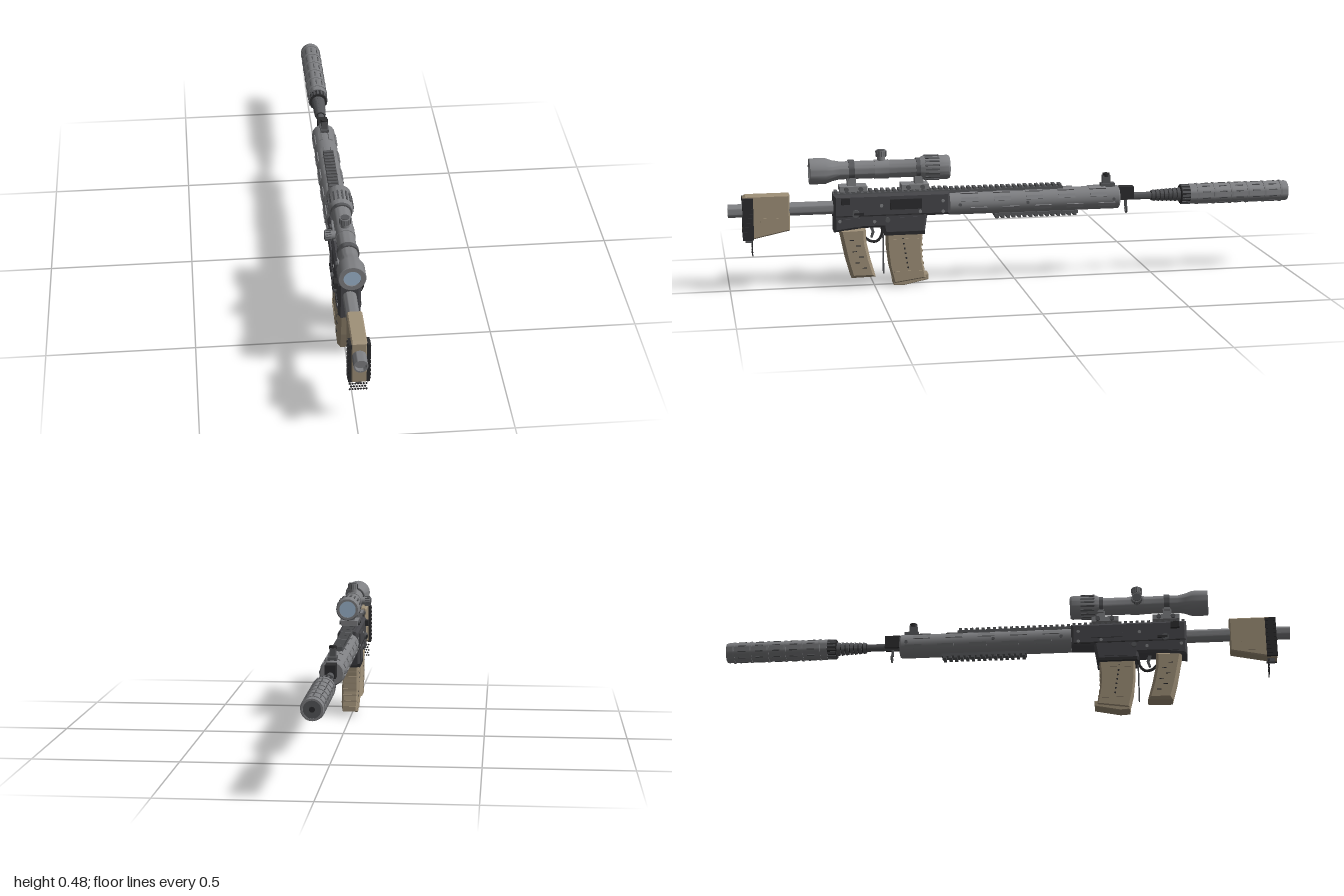
import * as THREE from 'three';
import { toCreasedNormals } from 'three/addons/utils/BufferGeometryUtils.js';

const mat = (name, color) => {
  const m = new THREE.MeshStandardMaterial({ color });
  m.name = name;
  return m;
};

export function createModel() {
  const root = new THREE.Group();
  root.name = 'rifle';
  root.position.x = 0.005;

  const grey = mat('metal grey', 0x7f8083);
  const mid = mat('steel grey', 0x57585b);
  const body = mat('receiver dark', 0x46464a);
  const black = mat('black', 0x2c2c2e);
  const tan = mat('tan', 0xa09179);
  const glass = mat('lens blue', 0xa0b9d1);
  const AXIS = 0.283, SCOPE = 0.412;

  const add = (name, geo, m, x = 0, y = 0, z = 0) => {
    const mesh = new THREE.Mesh(geo, m);
    mesh.name = name;
    mesh.position.set(x, y, z);
    root.add(mesh);
    return mesh;
  };
  const box = (name, m, w, h, d, x, y, z) => add(name, new THREE.BoxGeometry(w, h, d), m, x, y, z);
  // solid of revolution along z, points are [radius, z] with z rising
  const turn = (name, m, pts, y, seg = 32) => {
    const g = new THREE.LatheGeometry(pts.map(p => new THREE.Vector2(p[0], p[1])), seg);
    g.rotateX(Math.PI / 2);
    return add(name, toCreasedNormals(g, 0.6), m, 0, y, 0);
  };
  const rod = (name, m, r, z0, z1, y, seg = 32) =>
    turn(name, m, [[0, z0], [r, z0], [r, z1], [0, z1]], y, seg);
  // side outline of [z, y] points, extruded across x
  const slab = (name, m, pts, w, bevel = 0, x = 0) => {
    const s = new THREE.Shape(pts.map(p => new THREE.Vector2(-p[0], p[1])));
    const depth = w - 2 * bevel;
    const g = new THREE.ExtrudeGeometry(s, {
      depth, bevelEnabled: bevel > 0, bevelSize: bevel, bevelOffset: -bevel,
      bevelThickness: bevel, bevelSegments: 1, steps: 1,
    });
    g.translate(0, 0, -depth / 2);
    g.rotateY(Math.PI / 2);
    return add(name, g, m, x, 0, 0);
  };
  // pin or button along x
  const pin = (name, m, r, len, x, y, z, seg = 12) => {
    const g = new THREE.CylinderGeometry(r, r, len, seg);
    g.rotateZ(Math.PI / 2);
    return add(name, g, m, x, y, z);
  };

  // stock
  turn('bufferTube', grey, [[0, 0.62], [0.023, 0.62], [0.023, 1], [0.018, 1], [0.018, 0.985], [0, 0.985]], AXIS);
  slab('stock', tan, [[0.95, 0.33], [0.94, 0.337], [0.79, 0.337], [0.79, 0.212], [0.915, 0.186], [0.95, 0.183]], 0.05, 0.004);
  for (const s of [-1, 1]) {
    box('buttPadSide', black, 0.01, 0.146, 0.037, s * 0.029, 0.257, 0.933);
    for (let i = 0; i < 9; i++) box('buttPadRib', black, 0.004, 0.007, 0.034, s * 0.0345, 0.196 + i * 0.0155, 0.933);
    box('stockPanel', tan, 0.003, 0.045, 0.06, s * 0.0255, 0.235, 0.86);
  }
  box('stockLatch', mid, 0.016, 0.014, 0.025, 0, 0.178, 0.93);
  // small studs below the butt
  for (let r = 0; r < 5; r++) for (let c = 0; c < 7 - (r % 2); c++) {
    const g = new THREE.CylinderGeometry(0.0038, 0.0038, 0.003, 4);
    g.rotateX(Math.PI / 2);
    add('buttStud', g, black, -0.026 + (c + (r % 2) / 2) * 0.0088, 0.173 - r * 0.0107, 0.92);
  }

  // receiver
  slab('receiver', body, [[0.64, 0.33], [0.235, 0.33], [0.235, 0.25], [0.315, 0.248], [0.325, 0.183],
    [0.465, 0.183], [0.47, 0.212], [0.54, 0.212], [0.64, 0.2]], 0.074, 0.008);
  box('magazineWellCollar', black, 0.078, 0.012, 0.142, 0, 0.19, 0.395);
  for (const s of [-1, 1]) {
    box('receiverSeam', black, 0.003, 0.004, 0.39, s * 0.0365, 0.256, 0.44);
    box('wellPanel', body, 0.006, 0.045, 0.09, s * 0.037, 0.224, 0.395);
    box('rearPanel', body, 0.006, 0.03, 0.06, s * 0.037, 0.232, 0.58);
    pin('selector', mid, 0.013, 0.012, s * 0.041, 0.265, 0.565);
    box('selectorLever', black, 0.006, 0.008, 0.035, s * 0.047, 0.265, 0.555);
    box('chargingHandle', black, 0.014, 0.022, 0.03, s * 0.042, 0.31, 0.6);
    for (const [z, y] of [[0.62, 0.24], [0.5, 0.235], [0.475, 0.29], [0.34, 0.265], [0.26, 0.3], [0.26, 0.262]])
      pin('receiverPin', grey, 0.006, 0.004, s * 0.038, y, z);
    pin('magazineRelease', mid, 0.009, 0.01, s * 0.04, 0.24, 0.455);
  }
  box('portCover', black, 0.006, 0.036, 0.11, 0.038, 0.293, 0.39);
  box('sidePlate', body, 0.008, 0.04, 0.11, -0.038, 0.293, 0.36);

  // trigger and guard
  const guard = new THREE.CatmullRomCurve3([[0.21, 0.47], [0.178, 0.472], [0.157, 0.49], [0.16, 0.515], [0.185, 0.54]]
    .map(p => new THREE.Vector3(0, p[0], p[1])));
  add('triggerGuard', new THREE.TubeGeometry(guard, 16, 0.005, 6), black);
  slab('trigger', mid, [[0.515, 0.213], [0.503, 0.213], [0.497, 0.19], [0.505, 0.17], [0.511, 0.172], [0.506, 0.19]], 0.012);
  box('boltCatch', mid, 0.006, 0.14, 0.005, 0, 0.11, 0.467);

  // grip
  slab('grip', tan, [[0.622, 0.21], [0.53, 0.213], [0.528, 0.16], [0.515, 0.1], [0.497, 0.036], [0.582, 0.034], [0.6, 0.1]], 0.068, 0.01);
  for (const s of [-1, 1]) for (let i = 0; i < 6; i++)
    box('gripNotch', black, 0.002, 0.003, 0.016, s * 0.034, 0.07 + i * 0.02, 0.537 + i * 0.005 + (i % 2) * 0.018);

  // magazine
  slab('magazine', tan, [[0.457, 0.2], [0.33, 0.2], [0.335, 0.14], [0.333, 0.09], [0.32, 0.024],
    [0.433, 0.008], [0.448, 0.07], [0.455, 0.13]], 0.058, 0.005);
  slab('magazineBase', tan, [[0.437, 0.022], [0.312, 0.038], [0.312, 0.018], [0.4, 0], [0.434, 0.002]], 0.05, 0.002);
  for (const s of [-1, 1]) {
    for (let i = 0; i < 7; i++) pin('magazineHole', black, 0.0035, 0.002, s * 0.029, 0.065 + i * 0.017, 0.384 + i * 0.0028, 8);
    for (const [y, z] of [[0.05, 0.383], [0.165, 0.395]]) box('magazineRib', tan, 0.004, 0.005, 0.1, s * 0.029, y, z);
  }
  for (let i = 0; i < 6; i++) box('magazineFrontRib', tan, 0.05, 0.006, 0.008, 0, 0.055 + i * 0.022, 0.329 + Math.min(i, 2) * 0.003);

  // handguard with raised panels
  turn('handguard', grey, [[0, -0.375], [0.038, -0.375], [0.042, -0.37], [0.042, 0.235], [0, 0.235]], AXIS, 16);
  for (const a of [0.42, -0.42, Math.PI - 0.42, Math.PI + 0.42, 1.15, Math.PI - 1.15]) {
    for (let i = 0; i < 5; i++) {
      const z = 0.165 - i * 0.115 - (Math.sin(a) > 0 ? 0 : 0.03);
      const p = box('handguardPanel', grey, 0.006, 0.014, 0.06, Math.cos(a) * 0.0415, AXIS + Math.sin(a) * 0.0415, z);
      p.rotation.z = a;
    }
  }
  for (const s of [-1, 1]) for (const z of [0.2, -0.04, -0.35]) pin('handguardScrew', mid, 0.006, 0.004, s * 0.042, AXIS, z);

  // toothed rails
  const rail = (name, z0, z1, y, dir, w) => {
    box(name, mid, w, 0.01, z0 - z1, 0, y, (z0 + z1) / 2);
    const n = Math.round((z0 - z1) / 0.02);
    for (let i = 0; i < n; i++)
      box(name + 'Tooth', mid, w, 0.009, 0.011, 0, y + dir * 0.0085, z0 - (i + 0.5) * (z0 - z1) / n);
  };
  rail('receiverRail', 0.64, 0.235, 0.329, 1, 0.042);
  rail('topRail', 0.235, -0.17, 0.327, 1, 0.036);
  rail('bottomRail', 0.075, -0.225, 0.238, -1, 0.036);

  // front sight, gas block, sling ring
  box('sightBase', mid, 0.03, 0.014, 0.05, 0, 0.328, -0.335);
  box('frontSight', mid, 0.02, 0.034, 0.028, 0, 0.346, -0.33);
  const knob = new THREE.CylinderGeometry(0.013, 0.013, 0.012, 12);
  add('sightKnob', knob, black, 0, 0.364, -0.33);
  box('gasBlock', black, 0.036, 0.046, 0.055, 0, 0.297, -0.402);
  box('slingStem', mid, 0.008, 0.03, 0.008, 0, 0.262, -0.403);
  add('slingRing', new THREE.TorusGeometry(0.013, 0.003, 6, 16), mid, 0, 0.238, -0.405);

  // barrel, muzzle brake, collar
  rod('barrel', mid, 0.013, -0.62, -0.36, AXIS);
  for (let i = 0; i < 7; i++) {
    const z = -0.497 - i * 0.0155, r = 0.018 + i * 0.0007;
    turn('muzzleBrakeRing', mid, [[0, z - 0.011], [r + 0.003, z - 0.011], [r, z], [0, z]], AXIS, 20);
  }
  rod('muzzleBrakeCore', black, 0.016, -0.605, -0.495, AXIS, 20);
  rod('collar', black, 0.033, -0.637, -0.603, AXIS);
  for (let i = 0; i < 16; i++) {
    const a = i * Math.PI / 8;
    box('collarRib', mid, 0.005, 0.007, 0.03, Math.cos(a) * 0.0335, AXIS + Math.sin(a) * 0.0335, -0.62).rotation.z = a;
  }

  // suppressor with bands and small ridges
  turn('suppressor', grey, [[0, -0.995], [0.028, -0.995], [0.028, -1], [0.034, -1], [0.036, -0.995], [0.036, -0.635], [0, -0.635]], AXIS);
  rod('muzzleCap', mid, 0.028, -0.997, -0.99, AXIS);
  rod('bore', black, 0.009, -0.999, -0.99, AXIS, 16);
  for (let i = 0; i < 6; i++) {
    const z = -0.66 - i * 0.062;
    rod('suppressorBand', grey, 0.0385, z - 0.007, z, AXIS);
  }
  for (let k = 0; k < 5; k++) for (let i = 0; i < 10; i++) {
    const a = (i + 0.5) * Math.PI / 5;
    box('suppressorRidge', mid, 0.003, 0.004, 0.028, Math.cos(a) * 0.0362, AXIS + Math.sin(a) * 0.0362, -0.694 - k * 0.062).rotation.z = a;
  }

  // scope body, open at both ends around the lenses
  turn('scope', grey, [[0, 0.242], [0.03, 0.242], [0.03, 0.232], [0.038, 0.232], [0.042, 0.238], [0.042, 0.325],
    [0.031, 0.345], [0.031, 0.615], [0.036, 0.64], [0.045, 0.665], [0.045, 0.718], [0.043, 0.72], [0.028, 0.72],
    [0.028, 0.71], [0, 0.71]], SCOPE, 40);
  rod('eyeLens', glass, 0.028, 0.708, 0.716, SCOPE);
  rod('objectiveLens', glass, 0.03, 0.236, 0.244, SCOPE);
  for (let i = 0; i < 18; i++) {
    const a = i * Math.PI / 9;
    box('objectiveRib', mid, 0.004, 0.006, 0.05, Math.cos(a) * 0.0425, SCOPE + Math.sin(a) * 0.0425, 0.295).rotation.z = a;
  }

  // adjustment turrets on top and side
  const turret = (name, angle) => {
    const g = new THREE.Group();
    g.name = name;
    const part = (r, h, y, m) => {
      const p = new THREE.Mesh(new THREE.CylinderGeometry(r, r, h, 20), m);
      p.name = name + 'Drum';
      p.position.y = y;
      g.add(p);
    };
    part(0.014, 0.03, 0.034, grey);
    part(0.018, 0.022, 0.055, grey);
    part(0.015, 0.003, 0.0665, mid);
    for (let i = 0; i < 14; i++) {
      const a = i * Math.PI / 7, rib = new THREE.Mesh(new THREE.BoxGeometry(0.003, 0.018, 0.003), mid);
      rib.name = name + 'Rib';
      rib.position.set(Math.cos(a) * 0.018, 0.055, Math.sin(a) * 0.018);
      rib.rotation.y = -a;
      g.add(rib);
    }
    g.position.set(0, SCOPE, 0.47);
    g.rotation.z = angle;
    root.add(g);
  };
  turret('elevationTurret', 0);
  turret('windageTurret', Math.PI / 2);
  rod('turretHousing', grey, 0.033, 0.445, 0.495, SCOPE);

  // scope mounts
  for (const [z, ringZ] of [[0.57, 0.6], [0.355, 0.365]]) {
    box('mountBase', grey, 0.062, 0.018, 0.095, 0, 0.35, z);
    box('mountPost', grey, 0.036, 0.034, 0.03, 0, 0.372, ringZ - 0.025);
    rod('mountRing', mid, 0.036, ringZ - 0.035, ringZ - 0.015, SCOPE);
    for (const s of [-1, 1]) {
      pin('mountScrew', mid, 0.008, 0.008, s * 0.034, 0.35, z - 0.025);
      pin('mountScrew', mid, 0.008, 0.008, s * 0.034, 0.35, z + 0.025);
      box('ringClamp', grey, 0.01, 0.014, 0.02, s * 0.022, 0.386, ringZ - 0.025);
    }
  }
  return root;
}
